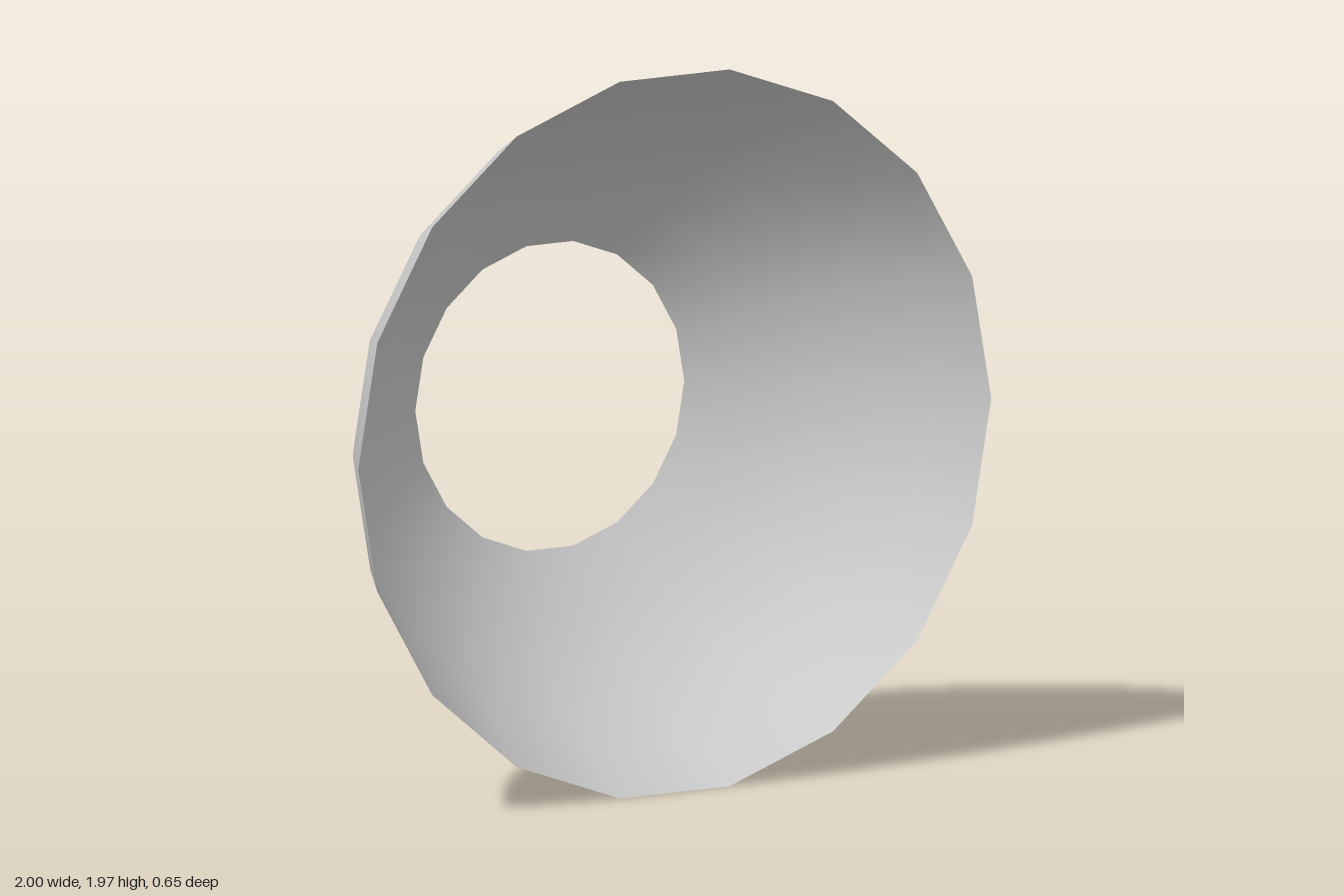
import * as THREE from 'three';

export function createModel() {
  const group = new THREE.Group();
  group.name = 'openBowl';

  const paleGrey = new THREE.MeshStandardMaterial({ color: 0xcccccc, side: THREE.DoubleSide });
  paleGrey.name = 'paleGrey';

  // Curved wall profile as [radius, z], from the small rear hole to the wide front rim
  const profile = [
    [0.425, -0.325], [0.582, -0.23], [0.716, -0.11],
    [0.825, 0.015], [0.92, 0.165], [1, 0.325],
  ].map(([r, z]) => new THREE.Vector2(r, z));

  // 18-sided smooth shell, open at both ends, with a corner on each side at x = 1 and x = -1
  const geometry = new THREE.LatheGeometry(profile, 18, Math.PI / 2);
  geometry.rotateX(Math.PI / 2);
  geometry.translate(0, Math.sin(THREE.MathUtils.degToRad(80)), 0);

  const shell = new THREE.Mesh(geometry, paleGrey);
  shell.name = 'bowlShell';
  group.add(shell);
  return group;
}
